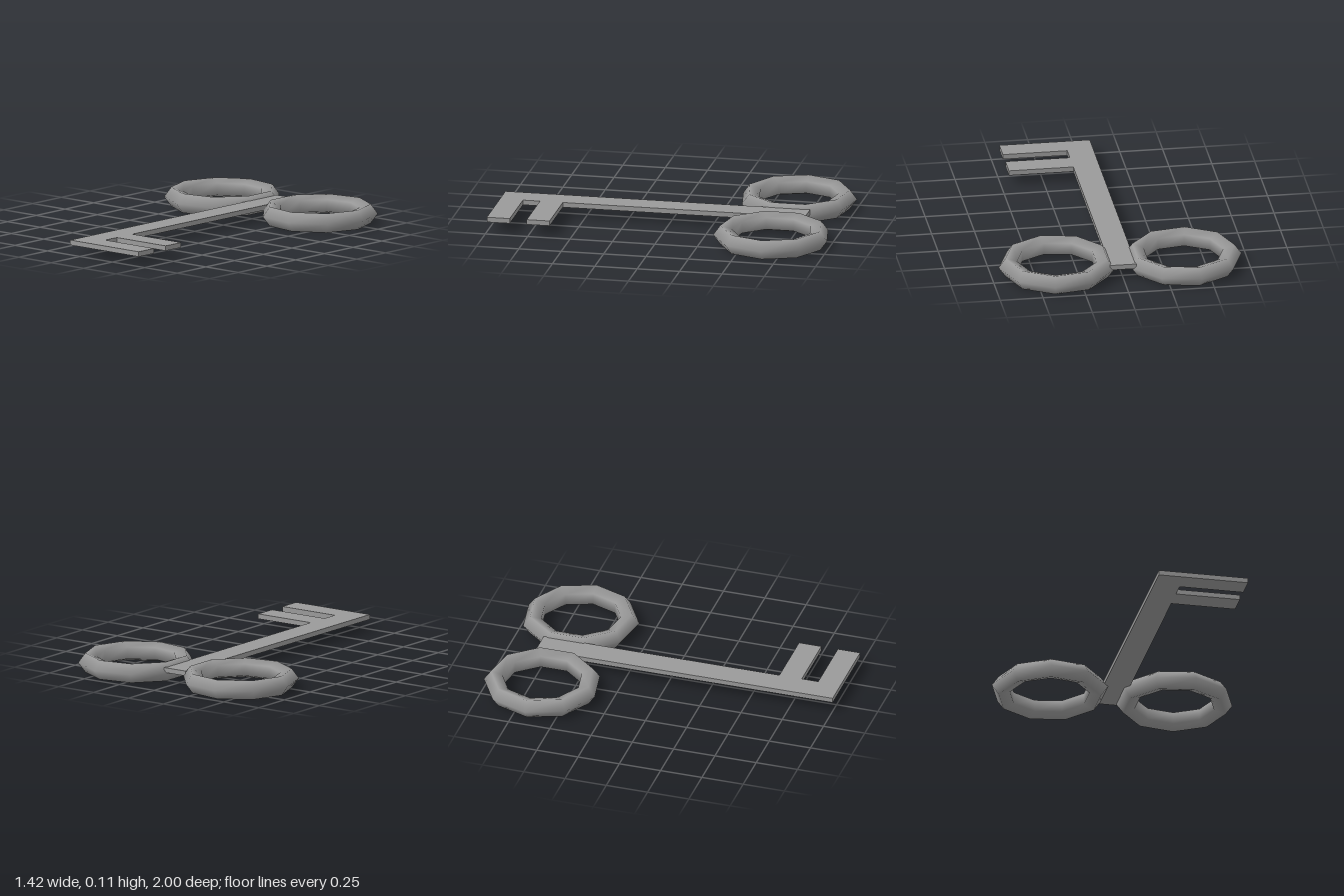
import * as THREE from 'three';

export function createModel() {
  const group = new THREE.Group();
  group.name = 'key';
  const material = new THREE.MeshStandardMaterial({ color: 0x9a9a9a });

  // Flat shaft with two teeth, outlined in x and z
  const outline = [
    [-0.075, -0.797], [0.077, -0.797], [0.077, 0.63], [0.453, 0.63], [0.453, 0.765],
    [0.077, 0.765], [0.077, 0.865], [0.453, 0.865], [0.453, 1], [-0.075, 1],
  ].map(([x, z]) => new THREE.Vector2(x, z));
  const thickness = 0.029;
  const shaftGeometry = new THREE.ExtrudeGeometry(new THREE.Shape(outline), {
    depth: thickness, bevelEnabled: false,
  });
  shaftGeometry.rotateX(Math.PI / 2); // extrusion now runs downwards
  const shaft = new THREE.Mesh(shaftGeometry, material);
  shaft.name = 'shaftWithTeeth';
  shaft.position.y = 0.087;
  group.add(shaft);

  // Two nine-sided rings with a five-sided section, mirrored about the shaft
  const tube = 0.0594;
  const ringGeometry = new THREE.TorusGeometry(0.2815, tube, 5, 9);
  ringGeometry.rotateX(Math.PI / 2);
  for (const side of [1, -1]) {
    const ring = new THREE.Mesh(ringGeometry, material);
    ring.name = side > 0 ? 'leftRing' : 'rightRing';
    ring.position.set(side * 0.369, tube * Math.sin(Math.PI * 0.4), -0.665);
    if (side < 0) ring.rotation.y = Math.PI;
    group.add(ring);
  }
  return group;
}
